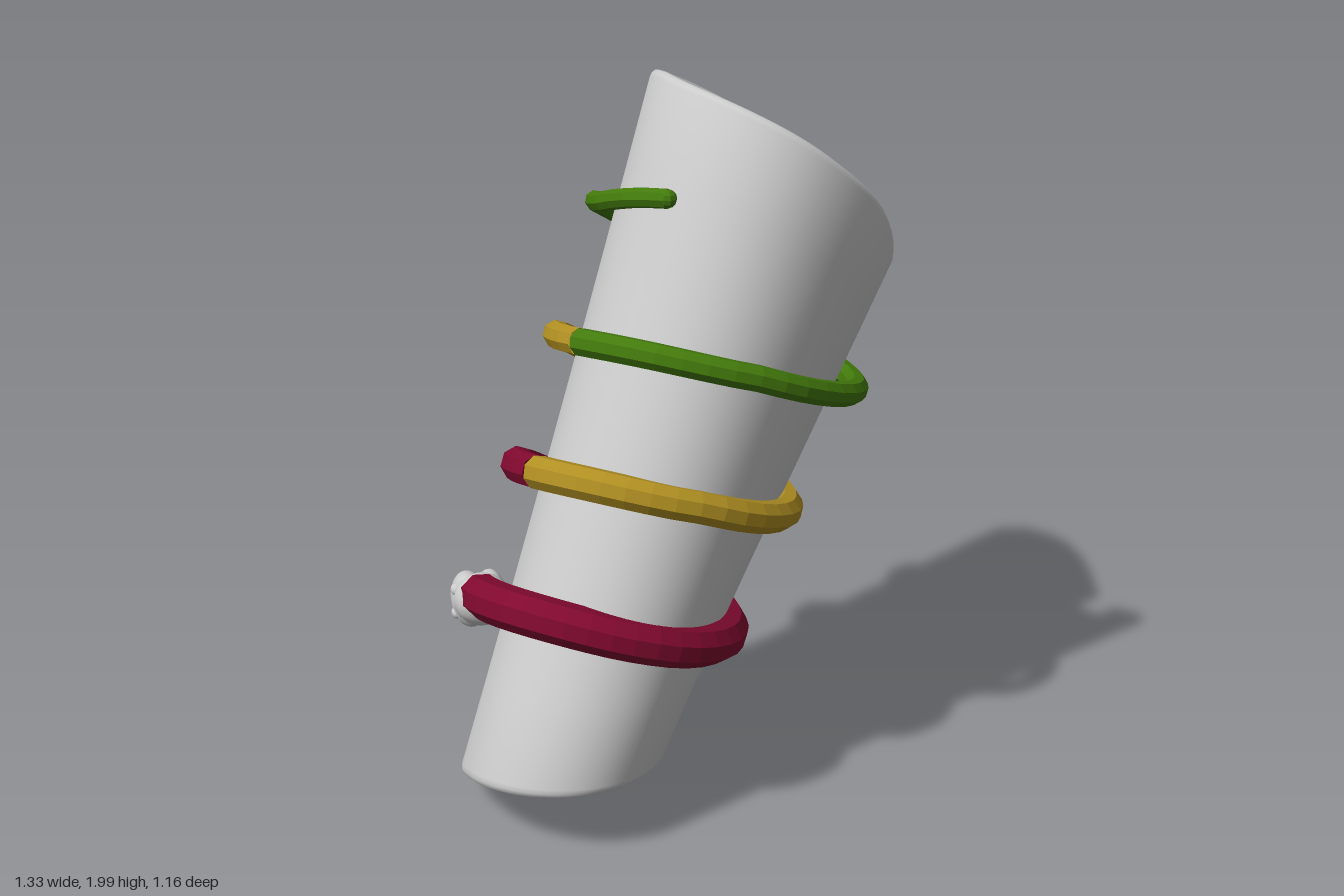
import * as THREE from 'three';
import { toCreasedNormals } from 'three/addons/utils/BufferGeometryUtils.js';

const V = (x, y, z) => new THREE.Vector3(x, y, z);
const lerp = THREE.MathUtils.lerp;
const mat = (color, extra = {}) => new THREE.MeshStandardMaterial({ color, ...extra });

const LOW = V(-0.395, 0.12, 0.28), HIGH = V(0.34, 1.75, -0.14);
const AXIS = HIGH.clone().sub(LOW).normalize();
const THICK = 0.04;

// slanted rims of the sleeve, both open at the +x side
function lowRim(t) {
  const a = lerp(0.08, 6.13, t), c = Math.cos(a), s = Math.sin(a);
  // slightly fuller at the back right
  const full = c < 0 ? 1 + 0.14 * Math.max(0, c * s) : 1;
  return V(-0.395 + 0.277 * c * full, 0.14 + 0.1 * s - 0.04 * s * s, 0.28 + 0.305 * s * full);
}
function highRim(t) {
  const b = lerp(0.5, 6.48, t), c = Math.cos(b), s = Math.sin(b);
  // squarer outline beside the split
  const x = c > 0 ? c + 0.28 * c * c * (1 - c * c) : c;
  // height climbs from the split to the far side
  const front = (b - 0.4) / (Math.PI - 0.4);
  const back = (2 * Math.PI + 0.2 - b) / (Math.PI + 0.2);
  const climb = b < Math.PI
    ? 1 - Math.pow(1 - front, 2.3)
    : 0.75 * Math.sin(back * Math.PI / 2) + 0.25 * back;
  return V(0.345 + 0.323 * x, 1.42 + 0.58 * climb, -0.14 + 0.445 * s);
}

// point of the sleeve: t around, s upward, d = 0 outside to 1 inside
function sleevePoint(t, s, d) {
  const p = lowRim(t).lerp(highRim(t), s);
  const inward = LOW.clone().lerp(HIGH, s).sub(p);
  inward.addScaledVector(AXIS, -inward.dot(AXIS)).normalize();
  return p.addScaledVector(inward, d * THICK);
}

function sleeveGeometry() {
  // closed wall profile with rounded top and bottom edges
  const loop = [], r = 0.013, steps = 8;
  for (let k = 0; k < steps; k++) loop.push([lerp(r, 1 - r, k / steps), 0]);
  for (let k = 0; k <= 6; k++) {
    const f = Math.PI * k / 6;
    loop.push([1 - r + r * Math.sin(f), 0.5 - 0.5 * Math.cos(f)]);
  }
  for (let k = 1; k < steps; k++) loop.push([lerp(1 - r, r, k / steps), 1]);
  for (let k = 0; k < 6; k++) {
    const f = Math.PI * k / 6;
    loop.push([r - r * Math.sin(f), 0.5 + 0.5 * Math.cos(f)]);
  }
  // columns around the arm, thinned at the two split edges
  const cols = [[0, 0.4], [0.003, 0.8], [0.008, 1]];
  for (let k = 1; k < 64; k++) cols.push([k / 64, 1]);
  cols.push([0.992, 1], [0.997, 0.8], [1, 0.4]);

  const pos = [], idx = [], n = loop.length;
  for (const [t, f] of cols)
    for (const [s, d] of loop) pos.push(...sleevePoint(t, s, 0.5 + (d - 0.5) * f).toArray());
  for (let i = 0; i < cols.length - 1; i++) {
    for (let j = 0; j < n; j++) {
      const a = i * n + j, b = i * n + (j + 1) % n;
      idx.push(a, b, a + n, b, b + n, a + n);
    }
  }
  const last = (cols.length - 1) * n;
  for (let k = 1; k < n - 1; k++) {
    idx.push(0, k + 1, k);
    idx.push(last, last + k, last + k + 1);
  }
  const g = new THREE.BufferGeometry();
  g.setAttribute('position', new THREE.Float32BufferAttribute(pos, 3));
  g.setIndex(idx);
  return toCreasedNormals(g, 0.9);
}

// quarter-turn stations of the coil: front, left, back, right, front ...
const STATIONS = [
  V(0.2, 1.69, 0.33),
  V(-0.175, 1.66, -0.06), V(0.18, 1.4, -0.475), V(0.525, 1.125, 0.04), V(0.13, 1.275, 0.425),
  V(-0.305, 1.3, -0.01), V(0.01, 1.04, -0.385), V(0.305, 0.81, 0.1), V(-0.03, 0.94, 0.455),
  V(-0.44, 0.95, 0.03), V(-0.13, 0.69, -0.255), V(0.11, 0.49, 0.18), V(-0.2, 0.59, 0.505),
  V(-0.575, 0.605, 0.1),
];
const PER = 10;

function coilPoints() {
  const pts = [];
  for (let q = 0; q < STATIONS.length - 1; q++) {
    const P = STATIONS[q], Q = STATIONS[q + 1];
    for (let k = 0; k < PER; k++) {
      const u = k / PER, c = 1 - Math.cos(u * Math.PI / 2), s = Math.sin(u * Math.PI / 2);
      const fx = q % 2 ? c : s, fz = q % 2 ? s : c;
      // each turn lies in a tilted plane and steps down at its left end
      let y = lerp(P.y, Q.y, fx);
      if (q % 4 === 0) y = lerp(P.y, Q.y, u) + 0.05 * Math.sin(Math.PI * u);
      if (q % 4 === 1) y = lerp(P.y, Q.y, 0.65 * fx + 0.35 * u);
      pts.push(V(lerp(P.x, Q.x, fx), y, lerp(P.z, Q.z, fz)));
    }
  }
  pts.push(STATIONS[STATIONS.length - 1]);
  return pts;
}

// eight-sided tube whose radius changes along its length
function taperedTube(points, r0, r1) {
  const curve = new THREE.CatmullRomCurve3(points);
  const n = points.length - 1, sides = 8;
  const g = new THREE.TubeGeometry(curve, n, 1, sides);
  const p = g.attributes.position, v = V(0, 0, 0);
  for (let i = 0; i <= n; i++) {
    const c = curve.getPointAt(i / n), r = lerp(r0, r1, i / n);
    for (let j = 0; j <= sides; j++) {
      const k = i * (sides + 1) + j;
      v.fromBufferAttribute(p, k).sub(c).multiplyScalar(r).add(c);
      p.setXYZ(k, v.x, v.y, v.z);
    }
  }
  return g;
}

function add(parent, name, geometry, material) {
  const m = new THREE.Mesh(geometry, material);
  m.name = name;
  parent.add(m);
  return m;
}

export function createModel() {
  const group = new THREE.Group();
  group.name = 'armGuard';
  const grey = mat(0xcccccc);
  add(group, 'sleeve', sleeveGeometry(), grey);

  // coiled snake body in three coloured lengths
  const pts = coilPoints();
  const tail = PER / 2, cut1 = 5 * PER - 2, cut2 = 9 * PER - 2;
  const lengths = [
    ['tailCoil', tail, cut1, 0.027, 0.039, 0x437a0c],
    ['middleCoil', cut1, cut2, 0.039, 0.048, 0xb08f22],
    ['neckCoil', cut2, pts.length - 1, 0.048, 0.062, 0x80092f],
  ];
  for (const [name, from, to, r0, r1, color] of lengths) {
    add(group, name, taperedTube(pts.slice(from, to + 1), r0, r1),
      mat(color, { flatShading: true, side: THREE.DoubleSide }));
  }
  const tip = add(group, 'tailTip', new THREE.SphereGeometry(0.025, 8, 6), mat(0x437a0c, { flatShading: true }));
  tip.position.copy(pts[tail]);

  // snake head with parted jaws
  const head = new THREE.Group();
  head.name = 'head';
  group.add(head);
  const blobs = [
    ['skull', -0.57, 0.585, 0.085, 0.08, 0.075, 0.075],
    ['outerJaw', -0.598, 0.57, 0.04, 0.05, 0.078, 0.092],
    ['innerJaw', -0.532, 0.57, 0.04, 0.042, 0.075, 0.09],
    ['upperEye', -0.634, 0.605, 0.045, 0.016, 0.018, 0.022],
    ['lowerEye', -0.634, 0.535, 0.045, 0.016, 0.018, 0.022],
  ];
  for (const [name, x, y, z, sx, sy, sz] of blobs) {
    const m = add(head, name, new THREE.SphereGeometry(1, 14, 10), grey);
    m.position.set(x, y, z);
    m.scale.set(sx, sy, sz);
  }
  return group;
}
